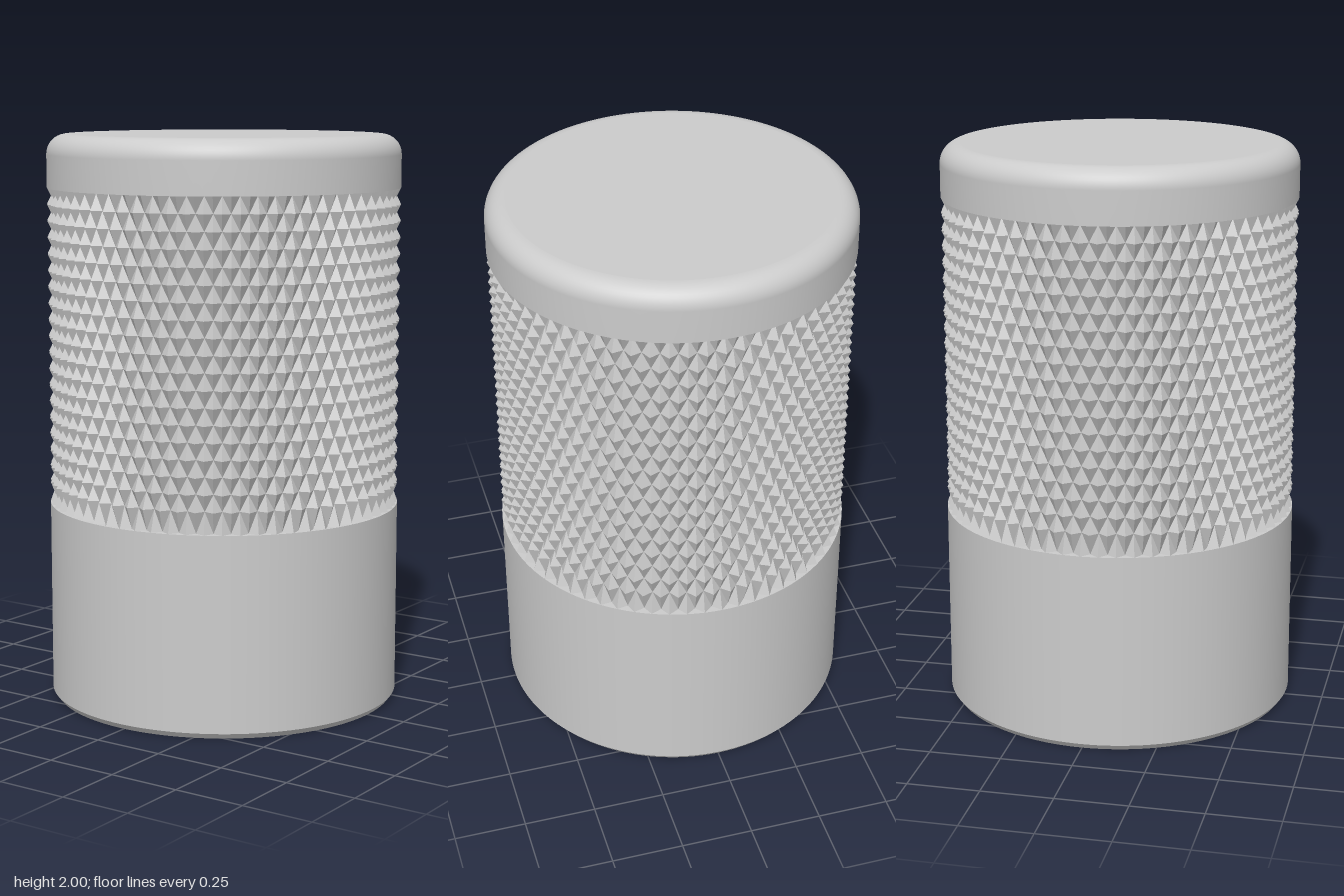
import * as THREE from 'three';

const R = 0.62;          // outer radius
const VALLEY = 0.592;    // radius at the bottom of the knurl grooves
const Y0 = 0.70, Y1 = 1.815; // knurled zone
const material = new THREE.MeshStandardMaterial({ color: 0xcccccc });

// One smooth turned surface; separate surfaces keep the edges between them sharp.
function turned(name, points) {
  const profile = points.map(([r, y]) => new THREE.Vector2(r, y));
  const mesh = new THREE.Mesh(new THREE.LatheGeometry(profile, 128), material);
  mesh.name = name;
  return mesh;
}

// A run of straight turned surfaces, one per profile segment.
function turnedSteps(name, points) {
  const group = new THREE.Group();
  group.name = name;
  for (let i = 0; i + 1 < points.length; i++) {
    group.add(turned(name + 'Face' + (i + 1), [points[i], points[i + 1]]));
  }
  return group;
}

// Pyramid knurl: crests and valleys alternate on a grid wrapped round the axis.
function knurl() {
  const columns = 128, rows = 19, firstRow = 0.075;
  const positions = [];
  const isCrest = (i, j) => (i + j) % 2 === 0;
  const point = (i, j) => {
    const a = (i / columns) * Math.PI * 2;
    const r = isCrest(i, j) ? R : VALLEY;
    const y = j === 0 ? Y0 : Y0 + firstRow + ((j - 1) * (Y1 - Y0 - firstRow)) / (rows - 1);
    return [r * Math.sin(a), y, r * Math.cos(a)];
  };
  for (let j = 0; j < rows; j++) {
    for (let i = 0; i < columns; i++) {
      const a = point(i, j), b = point(i + 1, j);
      const c = point(i + 1, j + 1), d = point(i, j + 1);
      // Split each cell along its groove
      const tris = isCrest(i, j) ? [a, b, d, b, c, d] : [a, b, c, a, c, d];
      tris.forEach((p) => positions.push(...p));
    }
  }
  const geometry = new THREE.BufferGeometry();
  geometry.setAttribute('position', new THREE.Float32BufferAttribute(positions, 3));
  geometry.computeVertexNormals();
  const flat = material.clone();
  flat.flatShading = true;
  const mesh = new THREE.Mesh(geometry, flat);
  mesh.name = 'knurledGrip';
  return mesh;
}

export function createModel() {
  const model = new THREE.Group();
  model.name = 'knurledKnob';

  // Stepped blind hole, underside, chamfer, plain lower band and its ledge
  model.add(turnedSteps('lowerBody', [
    [0, 0.7], [0.1, 0.7], [0.1, 0.055], [0.157, 0.055], [0.157, 0],
    [0.605, 0], [R, 0.02], [R, Y0], [VALLEY - 0.01, Y0],
  ]));

  model.add(knurl());

  // Upper band with rounded shoulder and flat top
  const fillet = 0.07;
  const shoulder = [[R, Y1]];
  for (let i = 0; i <= 10; i++) {
    const a = (i / 10) * Math.PI / 2;
    shoulder.push([R - fillet + fillet * Math.cos(a), 2 - fillet + fillet * Math.sin(a)]);
  }
  model.add(turned('upperLedge', [[VALLEY - 0.01, Y1], [R, Y1]]));
  model.add(turned('capShoulder', shoulder));
  model.add(turned('capTop', [[R - fillet, 2], [0, 2]]));
  return model;
}
